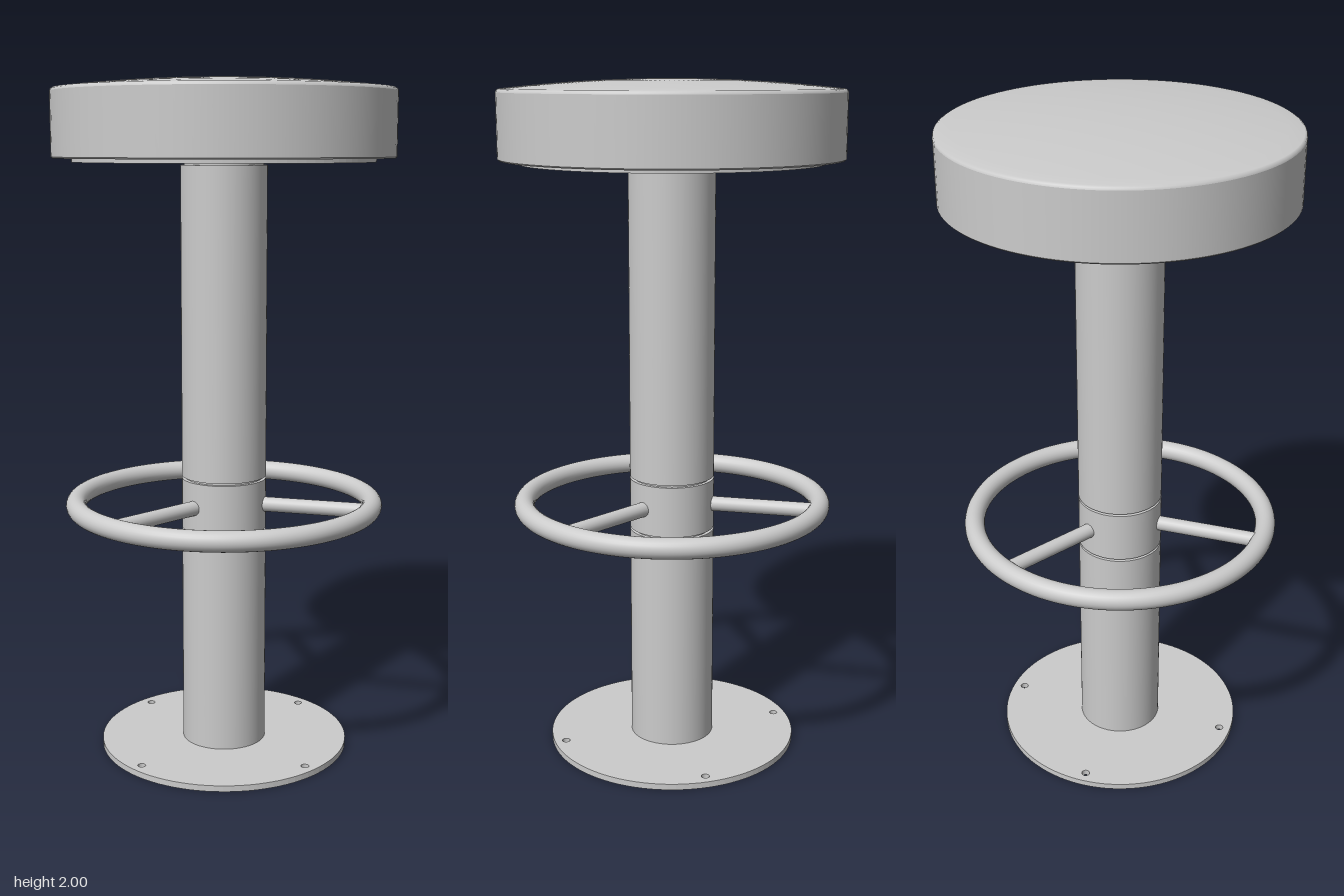
import * as THREE from 'three';

const material = new THREE.MeshStandardMaterial({ color: 0xcccccc, side: THREE.DoubleSide });

function addMesh(parent, name, geometry, y = 0) {
  const mesh = new THREE.Mesh(geometry, material);
  mesh.name = name;
  mesh.position.y = y;
  parent.add(mesh);
  return mesh;
}

// Lathe with each straight run kept crisp: one lathe per list of [radius, y]
function addLathe(parent, name, runs) {
  const group = new THREE.Group();
  group.name = name;
  for (const run of runs) {
    const points = run.map(([r, y]) => new THREE.Vector2(r, y));
    addMesh(group, name + 'Surface', new THREE.LatheGeometry(points, 96));
  }
  parent.add(group);
}

// Round plate lying flat, with drilled holes given as [radius, degrees]
function discGeometry(radius, thickness, holes, holeRadius) {
  const shape = new THREE.Shape();
  shape.absarc(0, 0, radius, 0, Math.PI * 2);
  for (const [r, degrees] of holes) {
    const a = THREE.MathUtils.degToRad(degrees);
    const hole = new THREE.Path();
    hole.absarc(r * Math.cos(a), r * Math.sin(a), holeRadius, 0, Math.PI * 2, true);
    shape.holes.push(hole);
  }
  const geometry = new THREE.ExtrudeGeometry(shape, { depth: thickness, bevelEnabled: false, curveSegments: 48 });
  // Shape y becomes z, then lift so the underside sits at zero
  return geometry.rotateX(Math.PI / 2).translate(0, thickness, 0);
}

export function createModel() {
  const model = new THREE.Group();
  model.name = 'barStool';

  // Floor plate: four rim holes and three column fixings
  const baseHoles = [0, 90, 180, 270].map(a => [0.34, a]);
  baseHoles.push(...[30, 150, 270].map(a => [0.085, a]));
  addMesh(model, 'basePlate', discGeometry(0.375, 0.018, baseHoles, 0.012));

  // Column in three sleeves, with a thin recessed joint between them
  const sleeves = [['lowerColumn', 0.018, 0.677], ['footringCollar', 0.684, 0.836], ['upperColumn', 0.843, 1.757]];
  for (const [name, bottom, top] of sleeves) {
    addMesh(model, name, new THREE.CylinderGeometry(0.126, 0.126, top - bottom, 64), (top + bottom) / 2);
  }
  addMesh(model, 'columnCore', new THREE.CylinderGeometry(0.115, 0.115, 1.747, 64), 0.8915);

  // Foot ring on three spokes
  const footrest = new THREE.Group();
  footrest.name = 'footrest';
  footrest.position.y = 0.76;
  model.add(footrest);
  addMesh(footrest, 'footRing', new THREE.TorusGeometry(0.443, 0.03, 24, 128).rotateX(Math.PI / 2));
  for (const degrees of [90, 210, 330]) {
    const spoke = addMesh(footrest, 'spoke',
      new THREE.CylinderGeometry(0.022, 0.022, 0.325, 24).rotateZ(Math.PI / 2).translate(0.2775, 0, 0));
    spoke.rotation.y = -THREE.MathUtils.degToRad(degrees);
  }

  // Mounting plate with screw holes under the seat
  const seatHoles = [0, 60, 180, 240].map(a => [0.4, a]);
  addMesh(model, 'seatPlate', discGeometry(0.437, 0.012, seatHoles, 0.01), 1.765);

  // Upholstered seat: flat underside, straight wall, rounded edge and shallow dome
  const crown = [[0.495, 1.962], [0.493, 1.968], [0.487, 1.972]];
  for (let i = 1; i <= 12; i++) {
    const t = 1 - i / 12;
    crown.push([0.487 * t, 2 - 0.028 * t * t]);
  }
  addLathe(model, 'seatCushion', [
    [[0, 1.776], [0.491, 1.776]],
    [[0.491, 1.776], [0.495, 1.78]],
    [[0.495, 1.78], [0.495, 1.962]],
    crown,
  ]);

  return model;
}
